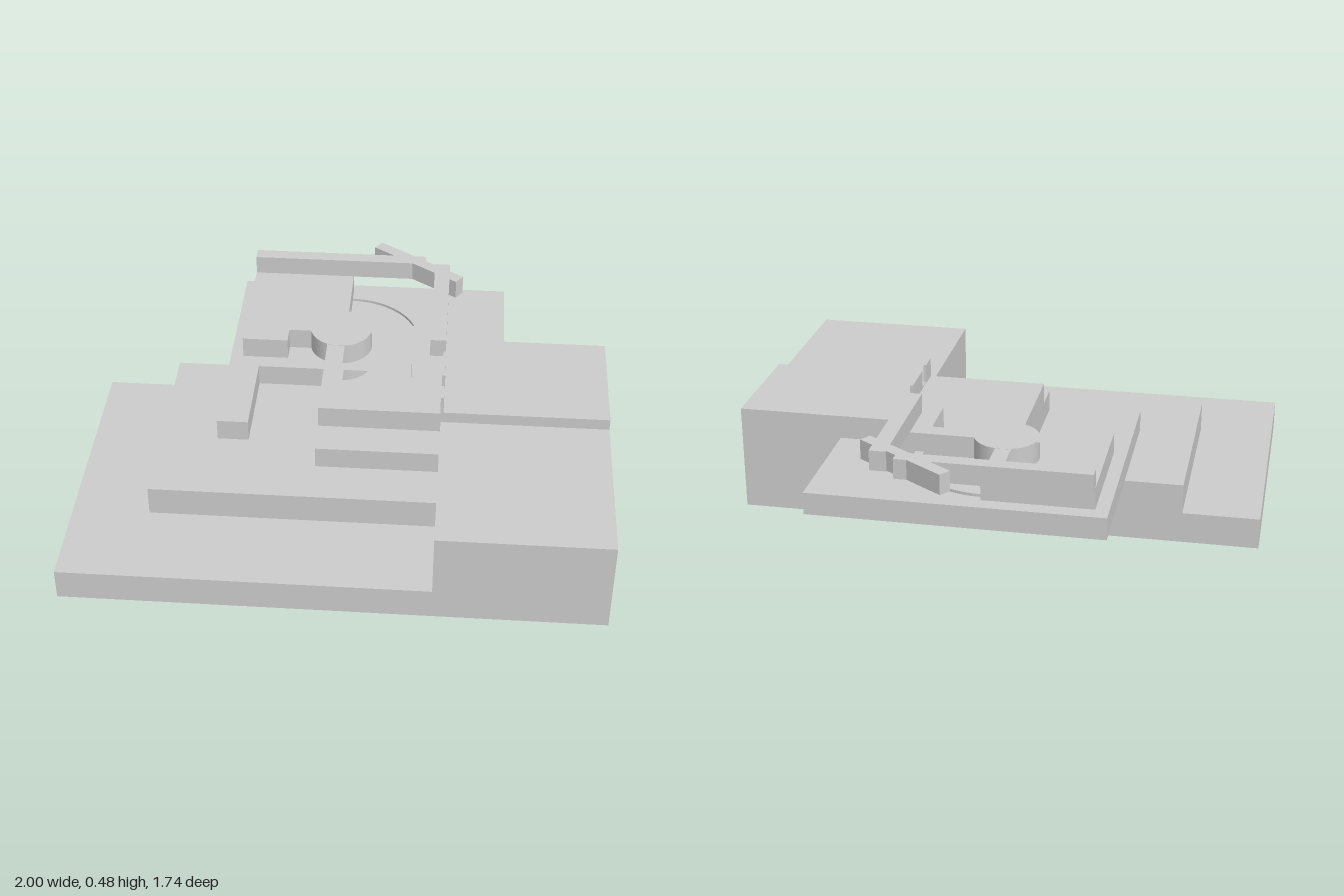
import * as THREE from 'three';

const material = new THREE.MeshStandardMaterial({ color: 0xcccccc });

// Horizontal rectangle as [x, z] corners
const rect = (x0, x1, z0, z1) => [[x0, z0], [x1, z0], [x1, z1], [x0, z1]];

export function createModel() {
  const model = new THREE.Group();

  const add = (name, geometry) => {
    const mesh = new THREE.Mesh(geometry, material);
    mesh.name = name;
    model.add(mesh);
    return mesh;
  };

  // Extrude a plan outline of [x, z] points from height y0 to y1
  const slab = (name, outline, y0, y1, holes = []) => {
    const toVectors = pts => pts.map(([x, z]) => new THREE.Vector2(x, -z));
    const shape = new THREE.Shape(toVectors(outline));
    holes.forEach(h => shape.holes.push(new THREE.Path(toVectors(h))));
    const geometry = new THREE.ExtrudeGeometry(shape, { depth: y1 - y0, bevelEnabled: false });
    geometry.rotateX(-Math.PI / 2).translate(0, y0, 0);
    return add(name, geometry);
  };

  // Stepped ground
  slab('basePlate', rect(-1, 0.365, -0.28, 0.87), 0, 0.12);
  slab('lowerTerrace', rect(-0.71, 0.365, -0.28, 0.52), 0.12, 0.235);
  slab('sideBlock', rect(0.365, 1, -0.28, 0.87), 0, 0.365);
  slab('sideBlockUpperStep', rect(0.365, 1, -0.28, 0.2), 0.365, 0.41);

  // Cantilevered floor with a front notch and a courtyard opening
  slab('cantileverFloor', [
    [-0.49, -0.775], [0.605, -0.775], [0.605, -0.28], [0.365, -0.28], [0.365, 0.34],
    [-0.1, 0.34], [-0.1, -0.165], [-0.37, -0.165], [-0.37, 0.2], [-0.49, 0.2],
  ], 0.235, 0.32, [rect(-0.03, 0.31, -0.165, 0.125)]);

  // Upper storey with a square light well and the courtyard
  slab('upperStorey', [
    [-0.44, -0.715], [-0.03, -0.715], [-0.03, -0.37], [0.365, -0.37], [0.365, 0.2],
    [-0.1, 0.2], [-0.1, -0.305], [-0.26, -0.305], [-0.26, -0.23], [-0.44, -0.23],
  ], 0.32, 0.405, [
    rect(-0.26, -0.09, -0.61, -0.37),
    [[-0.03, -0.305], [0.24, -0.305], [0.24, -0.11], [0.31, -0.11], [0.31, 0.125], [-0.03, 0.125]],
  ]);

  // Round core through the floors
  add('roundCore', new THREE.CylinderGeometry(0.123, 0.123, 0.216, 64))
    .position.set(-0.052, 0.298, -0.332);

  // Low quarter-ring curb on the terrace
  const arc = (r, from, to) => Array.from({ length: 25 }, (_, i) => {
    const a = from + (to - from) * i / 24;
    return [-0.03 + r * Math.cos(a), -0.37 - r * Math.sin(a)];
  });
  slab('curvedCurb', [...arc(0.32, 0, Math.PI / 2), ...arc(0.287, Math.PI / 2, 0)], 0.32, 0.331);

  // Roof-level walls
  const walls = {
    backWall: rect(-0.44, 0.27, -0.772, -0.717),
    sideWall: rect(0.31, 0.372, -0.718, -0.17),
    diagonalWall: [[0.08, -0.87], [0.428, -0.63], [0.4, -0.59], [0.052, -0.83]],
    middleFin: rect(0.363, 0.375, -0.097, 0.06),
    frontFin: rect(0.363, 0.375, 0.125, 0.202),
  };
  for (const [name, outline] of Object.entries(walls)) slab(name, outline, 0.403, 0.48);

  return model;
}
